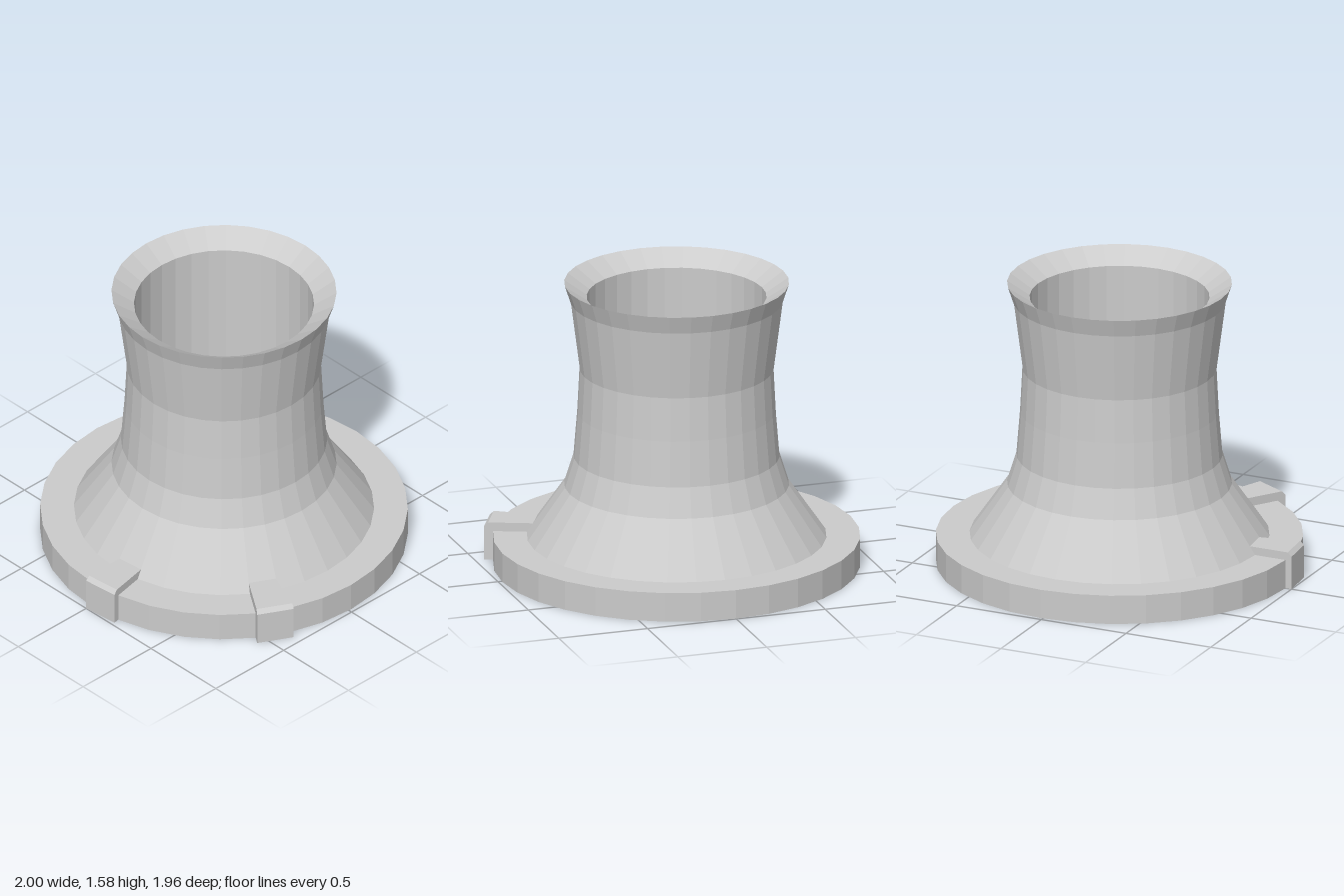
import * as THREE from 'three';

const SEGMENTS = 32;
const STEP = (Math.PI * 2) / SEGMENTS;

export function createModel() {
  const model = new THREE.Group();
  const body = new THREE.Group();
  body.position.x = 0.015; // the clips overhang on one side
  model.add(body);

  const material = new THREE.MeshStandardMaterial({ color: 0xcccccc, flatShading: true });
  const add = (name, geometry) => {
    const mesh = new THREE.Mesh(geometry, material);
    mesh.name = name;
    body.add(mesh);
    return mesh;
  };
  const points = (list) => list.map(([r, y]) => new THREE.Vector2(r, y));

  // Flat round base
  add('base', new THREE.CylinderGeometry(0.98, 0.98, 0.16, SEGMENTS)).position.y = 0.08;

  // Flared sleeve: outer wall upwards, bevelled lip, straight bore and its floor
  add('flaredSleeve', new THREE.LatheGeometry(points([
    [0.8, 0.16], [0.6, 0.45], [0.55, 0.61], [0.53, 0.86], [0.518, 1.1],
    [0.567, 1.48], [0.6, 1.58],
    [0.48, 1.5], [0.48, 0.165], [0, 0.165],
  ]), SEGMENTS));

  // Hook-shaped clip over the base edge, swept across one facet of the base
  const addClip = (name, facet, radius, top) => {
    const section = new THREE.Shape(points([
      [0.72, 0.15], [0.95, 0.15], [0.95, 0], [radius, 0],
      [radius, top - 0.022], [radius - 0.022, top], [0.72, top],
    ]));
    const geometry = new THREE.ExtrudeGeometry(section, { depth: 1, bevelEnabled: false });
    const p = geometry.attributes.position;
    for (let i = 0; i < p.count; i++) {
      const r = p.getX(i);
      const angle = (facet + p.getZ(i)) * STEP;
      p.setXYZ(i, r * Math.cos(angle), p.getY(i), r * Math.sin(angle));
    }
    geometry.computeVertexNormals();
    add(name, geometry);
  };
  addClip('sideClip', 15, 1.015, 0.205);
  addClip('frontClip', 10, 1.029, 0.208);

  return model;
}
